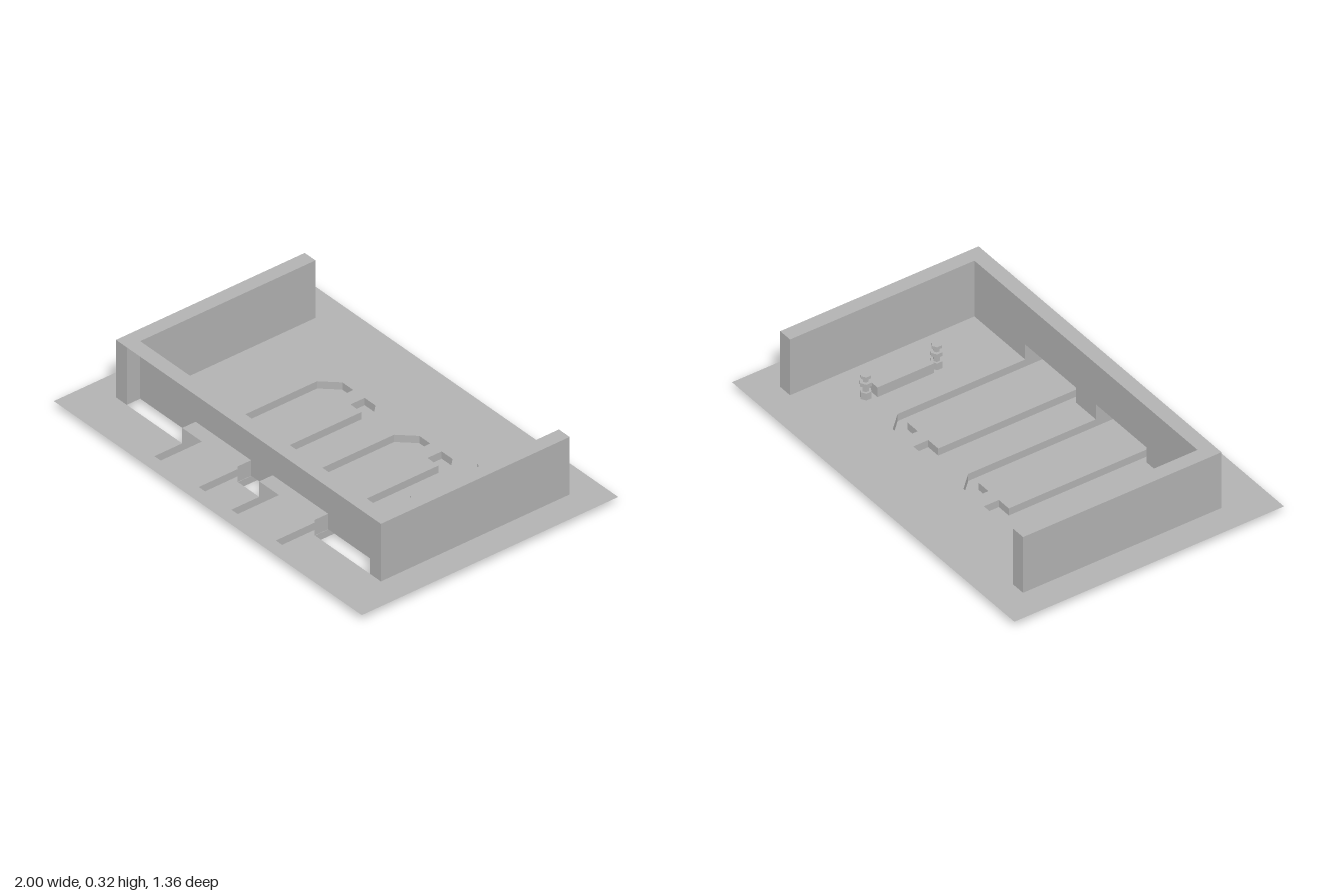
import * as THREE from 'three';

const grey = new THREE.MeshStandardMaterial({ color: 0xb2b2b2, side: THREE.DoubleSide });
grey.name = 'grey';

const FLOOR = 0.036, TOP = 0.322, ROOF = 0.113; // plate, wall top and tunnel roof heights
const BACK = -0.535, FRONT = 0.463, INNER = 0.392;

const mirror = (pts) => pts.map(([x, z]) => [-x, z]);
const rect = (x0, x1, z0, z1) => [[x0, z0], [x1, z0], [x1, z1], [x0, z1]];
const path = (pts, Kind) => new Kind(pts.map(([x, z]) => new THREE.Vector2(x, -z)));

// Horizontal sheet from an (x, z) outline with optional holes
function sheet(pts, y, holes = []) {
  const shape = path(pts, THREE.Shape);
  shape.holes = holes.map((h) => path(h, THREE.Path));
  return new THREE.ShapeGeometry(shape).rotateX(-Math.PI / 2).translate(0, y, 0);
}

// Upright sheet that follows an (x, z) path between two heights
function fence(pts, y0, y1, closed = true) {
  const pos = [];
  const n = closed ? pts.length : pts.length - 1;
  for (let i = 0; i < n; i++) {
    const [ax, az] = pts[i], [bx, bz] = pts[(i + 1) % pts.length];
    pos.push(ax, y0, az, ax, y1, az, bx, y1, bz, ax, y0, az, bx, y1, bz, bx, y0, bz);
  }
  const g = new THREE.BufferGeometry();
  g.setAttribute('position', new THREE.Float32BufferAttribute(pos, 3));
  g.computeVertexNormals();
  return g;
}

export function createModel() {
  const model = new THREE.Group();
  const add = (name, geometry, parent = model) => {
    const mesh = new THREE.Mesh(geometry, grey);
    mesh.name = name;
    parent.add(mesh);
    return mesh;
  };
  const group = (name) => {
    const g = new THREE.Group();
    g.name = name;
    model.add(g);
    return g;
  };

  // Hooked channel outlines, two facing pairs
  const outer = [[0.43, 0.61], [0.43, -0.25], [0.358, -0.325], [0.287, -0.325],
    [0.287, -0.25], [0.358, -0.25], [0.358, 0.61]];
  const inner = outer.map(([x, z]) => [0.5 - x, z]);
  const channels = [outer, inner, mirror(inner), mirror(outer)];

  // Base plate, open under the walls, the channels and the bar
  const e = 0.002;
  const wallSlot = [[0.86, BACK], [0.79, BACK], [0.79, INNER], [0.43 + e, INNER],
    [0.43 + e, FRONT], [0.86, FRONT]];
  const bar = rect(0.572, 0.635, -0.25, 0.035);
  add('basePlate', sheet(rect(-1, 1, -0.678, 0.678), FLOOR, [
    wallSlot, mirror(wallSlot), rect(-0.07 + e, 0.07 - e, INNER, FRONT), ...channels, bar,
  ]));

  // Sunken channels
  for (const c of channels) {
    const g = group('channel');
    add('channelSides', fence(c, 0, FLOOR), g);
    add('channelFloor', sheet(c, 0), g);
  }

  // Hollow side walls
  for (const s of [-1, 1]) {
    add('sideWall', fence(rect(s * 0.79, s * 0.86, BACK, FRONT), FLOOR, TOP));
  }

  // Wall top, a single U-shaped face
  add('wallTop', sheet([[-0.86, BACK], [-0.79, BACK], [-0.79, INNER], [0.79, INNER],
    [0.79, BACK], [0.86, BACK], [0.86, FRONT], [-0.86, FRONT]], TOP));

  // Front wall panel with two notches along its foot
  const panel = new THREE.Shape([[-0.79, TOP], [-0.79, FLOOR], [-0.43, FLOOR], [-0.43, ROOF],
    [-0.07, ROOF], [-0.07, FLOOR], [0.07, FLOOR], [0.07, ROOF], [0.43, ROOF], [0.43, FLOOR],
    [0.79, FLOOR], [0.79, TOP]].map(([x, y]) => new THREE.Vector2(x, y)));
  add('frontWall', new THREE.ShapeGeometry(panel).translate(0, 0, INNER));

  // Tunnels through the front wall
  for (const s of [-1, 1]) {
    const g = group('tunnel');
    for (const x of [0.07, 0.43]) {
      add('tunnelSide', fence([[s * x, INNER], [s * x, FRONT]], FLOOR, ROOF, false), g);
    }
    add('tunnelRoof', sheet(rect(s * 0.07, s * 0.43, INNER, FRONT), ROOF), g);
  }

  // Small raised bar with a stacked knob at each end
  const handle = group('handle');
  add('barSides', fence(bar, FLOOR, 0.085), handle);
  add('barTop', sheet(bar, 0.085), handle);
  for (const z of [-0.288, 0.068]) {
    const tiers = [[0.026, 0.035, 0.018], [0.015, 0.03, 0.05], [0.028, 0.018, 0.074],
      [0.013, 0.02, 0.093], [0.024, 0.014, 0.11]];
    for (const [r, h, y] of tiers) {
      const g = new THREE.CylinderGeometry(r, r, h, 6).toNonIndexed();
      g.computeVertexNormals();
      add('knobTier', g, handle).position.set(0.602, FLOOR + y - 0.001, z);
    }
  }
  return model;
}
